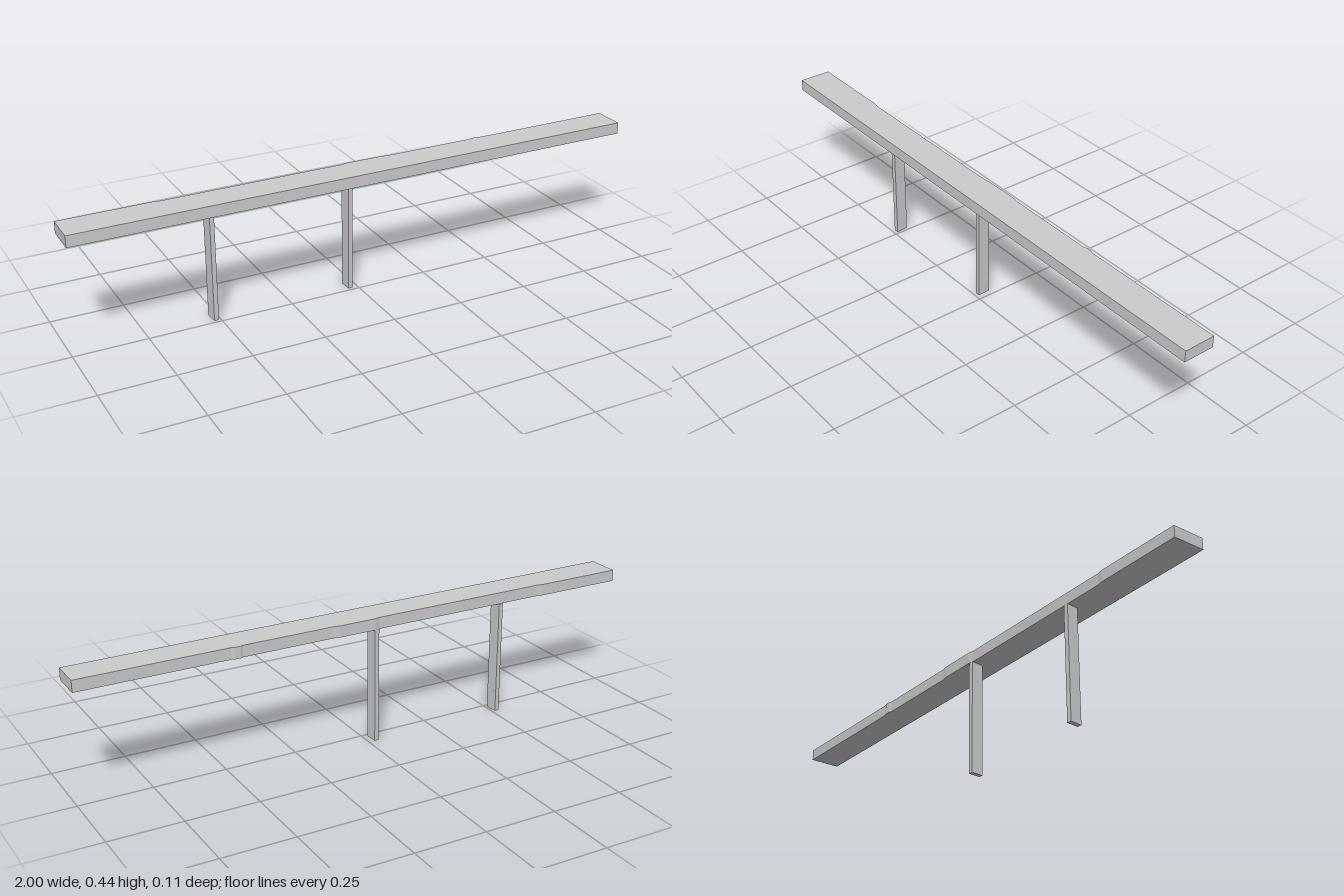
import * as THREE from 'three';

const grey = new THREE.MeshStandardMaterial({ color: 0xcccccc, flatShading: true });

// Long plank with a straight front edge and a slightly uneven back edge.
function makePlank() {
  const outline = [
    [-1, -0.057], [1, -0.057], [1, 0.053],
    [0.49, 0.053], [0.48, 0.057], [0.46, 0.057], [0.45, 0.053],
    [0.13, 0.053], [0.11, 0.057], [-0.02, 0.057], [-0.04, 0.053],
    [-0.67, 0.053], [-0.69, 0.057], [-1, 0.057],
  ].map(([x, y]) => new THREE.Vector2(x, y));
  const geometry = new THREE.ExtrudeGeometry(new THREE.Shape(outline), { depth: 0.04, bevelEnabled: false });
  geometry.rotateX(-Math.PI / 2); // outline y becomes -z, depth becomes height
  const plank = new THREE.Mesh(geometry, grey);
  plank.name = 'plank';
  plank.position.y = 0.4;
  return plank;
}

// Thin upright post, turned a little about its axis.
function makePost(name, x, turn) {
  const post = new THREE.Mesh(new THREE.BoxGeometry(0.016, 0.4, 0.044), grey);
  post.name = name;
  post.position.set(x, 0.2, -0.033);
  post.rotation.y = turn;
  return post;
}

export function createModel() {
  const model = new THREE.Group();
  model.name = 'plankOnPosts';
  model.add(
    makePlank(),
    makePost('rightPost', -0.517, 0.09),
    makePost('middlePost', -0.028, 0.06),
  );
  return model;
}
